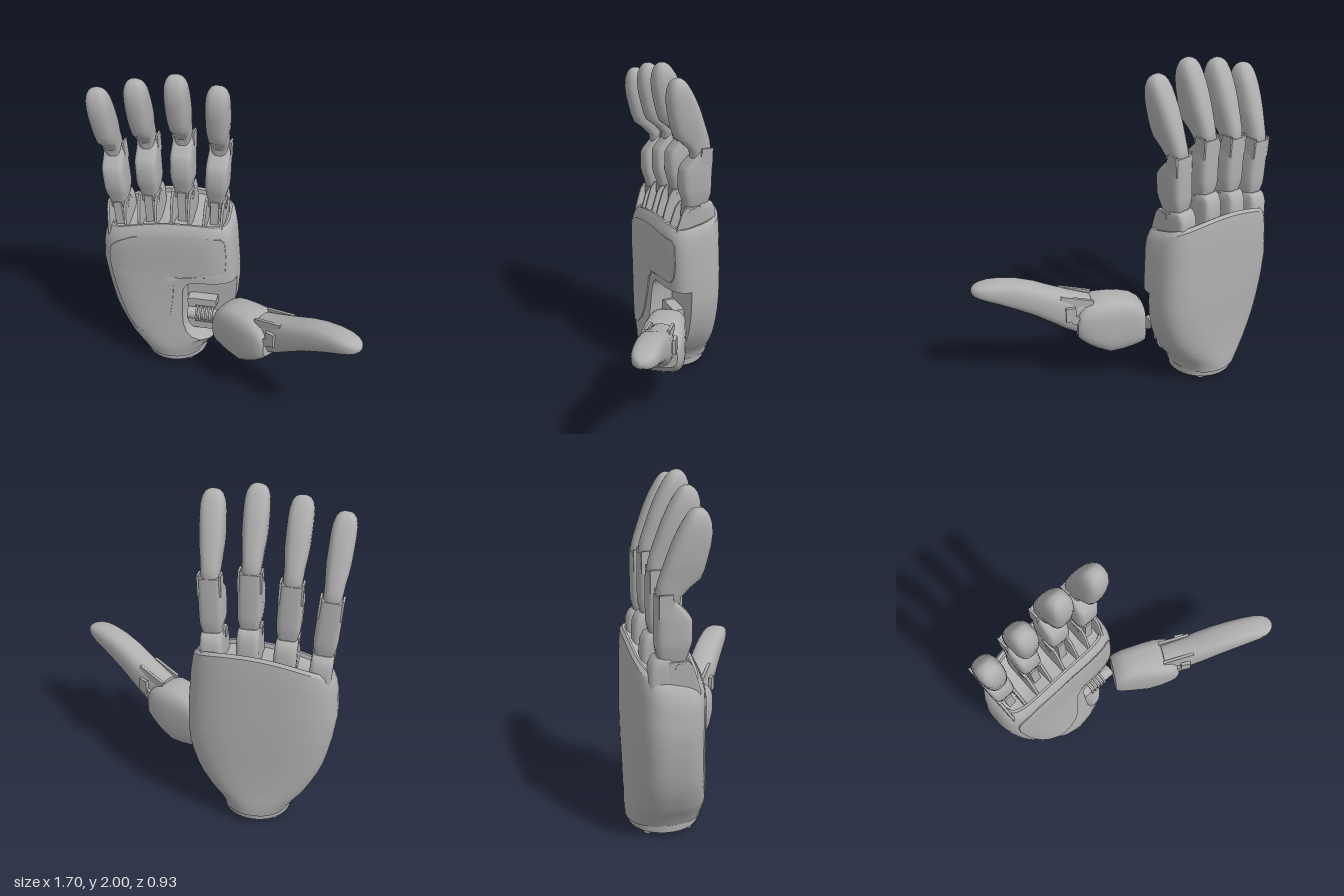
import * as THREE from 'three';
import { toCreasedNormals } from 'three/addons/utils/BufferGeometryUtils.js';

const grey = new THREE.MeshStandardMaterial({ color: 0xb0b0b0 });
grey.name = 'grey shell';
const lerp = THREE.MathUtils.lerp;

// Skins a list of equal-length rings (running from +x towards +z) and caps both ends.
function skin(rings, crease = 0.6) {
  const n = rings[0].length, pos = [], idx = [];
  for (const ring of rings) for (const p of ring) pos.push(p[0], p[1], p[2]);
  for (let r = 0; r < rings.length - 1; r++) {
    for (let i = 0; i < n; i++) {
      const a = r * n + i, b = r * n + (i + 1) % n;
      idx.push(a, a + n, b, b, a + n, b + n);
    }
  }
  for (const r of [0, rings.length - 1]) {
    const c = pos.length / 3;
    for (let k = 0; k < 3; k++) pos.push(rings[r].reduce((s, p) => s + p[k], 0) / n);
    for (let i = 0; i < n; i++) {
      const a = r * n + i, b = r * n + (i + 1) % n;
      if (r === 0) idx.push(c, a, b); else idx.push(c, b, a);
    }
  }
  const g = new THREE.BufferGeometry();
  g.setAttribute('position', new THREE.Float32BufferAttribute(pos, 3));
  g.setIndex(idx);
  return toCreasedNormals(g, crease);
}

// Rounded-box loft; rows are [y, half width, front z, back z].
function loft(rows, power = 3.2, count = 28) {
  const soft = v => Math.sign(v) * Math.abs(v) ** (2 / power);
  return skin(rows.map(([y, w, zf, zb]) => Array.from({ length: count }, (_, i) => {
    const a = i / count * Math.PI * 2;
    return [w * soft(Math.cos(a)), y, (zf + zb) / 2 + (zf - zb) / 2 * soft(Math.sin(a))];
  })));
}

// The same loft lying along x; rows are [x, half width, top y, bottom y].
function loftAlongX(rows, power) {
  const g = loft(rows, power);
  for (const a of [g.attributes.position, g.attributes.normal])
    for (let i = 0; i < a.count; i++) a.setXYZ(i, a.getY(i), a.getZ(i), a.getX(i));
  return g;
}

function add(parent, name, geometry, x = 0, y = 0, z = 0) {
  const m = new THREE.Mesh(geometry, grey);
  m.name = name;
  m.position.set(x, y, z);
  parent.add(m);
  return m;
}
const box = (w, h, d) => new THREE.BoxGeometry(w, h, d);
const pinX = (r, l) => new THREE.CylinderGeometry(r, r, l, 20).rotateZ(Math.PI / 2);
const pinZ = (r, l) => new THREE.CylinderGeometry(r, r, l, 20).rotateX(Math.PI / 2);

// Palm profile: y, left x, right x, front z, back z, squareness
const palmKeys = [
  [0.065, -0.6, -0.2, -0.03, -0.465, 2.2], [0.1, -0.62, -0.19, -0.025, -0.468, 2.3],
  [0.14, -0.645, -0.165, -0.02, -0.468, 2.5], [0.2, -0.69, -0.115, -0.025, -0.463, 2.8],
  [0.3, -0.745, -0.05, -0.035, -0.46, 3.0], [0.38, -0.78, -0.02, -0.045, -0.46, 3.2],
  [0.48, -0.805, 0.005, -0.055, -0.462, 3.4], [0.58, -0.825, 0.013, -0.065, -0.464, 3.7],
  [0.72, -0.842, 0.012, -0.07, -0.464, 4], [0.9, -0.834, 0, -0.07, -0.458, 4.2],
  [0.96, -0.825, -0.01, -0.075, -0.455, 4.4], [1.0, -0.81, -0.02, -0.09, -0.45, 4.5],
];
function palmRow(y) {
  let i = 0;
  while (i < palmKeys.length - 2 && palmKeys[i + 1][0] < y) i++;
  const a = palmKeys[i], b = palmKeys[i + 1], t = (y - a[0]) / (b[0] - a[0]);
  return a.map((v, k) => lerp(v, b[k], t));
}
// Surface depth at x; the back (side -1) is more domed than the front.
function palmZ([, xl, xr, zf, zb, square], x, side) {
  const p = side > 0 ? square : Math.min(square, 3);
  const u = Math.min(1, Math.abs((x - (xl + xr) / 2) / ((xr - xl) / 2)));
  return (zf + zb) / 2 + side * (zf - zb) / 2 * (1 - u ** p) ** (1 / p);
}
// The upper rim arches over the knuckles and rises to the back.
const archY = (x, y, z) => y + THREE.MathUtils.smoothstep(y, 0.7, 1) *
  (0.07 - 0.4 * (x + 0.28) ** 2 + 0.25 * (-0.27 - z));

// One palm section; right of xc the front steps back into the thumb socket.
function palmRing(row, xc, socket) {
  const [y, xl, xr] = row, M = 16, pts = [];
  const ease = t => 1 - (1 - t) ** 3;
  const put = (x, z) => pts.push([x, archY(x, y, z), z]);
  for (let i = M; i >= 0; i--) {
    const x = lerp(xc, xr, ease(i / M)), z = palmZ(row, x, 1);
    put(x, socket ? Math.min(z, -0.2) : z);
  }
  for (let i = 0; i <= M; i++) {
    const x = lerp(xc, xl, ease(i / M));
    put(x, palmZ(row, x, 1));
  }
  for (let i = 1 - M; i < M; i++) {
    const t = i / M, x = lerp(xl, xr, (1 + Math.sign(t) * ease(Math.abs(t))) / 2);
    put(x, palmZ(row, x, -1));
  }
  return pts;
}

function buildPalm(hand) {
  const rings = [];
  const plain = (y, xc = -0.3) => rings.push(palmRing(palmRow(y), xc, false));
  [[0.065, -0.3], [0.1, -0.28], [0.14, -0.23], [0.17, -0.18], [0.195, -0.15]].forEach(r => plain(...r));
  const socket = [[0.195, -0.15], [0.21, -0.2], [0.24, -0.25], [0.28, -0.285], [0.34, -0.305],
    [0.4, -0.31], [0.48, -0.31], [0.58, -0.31], [0.61, -0.3], [0.635, -0.28], [0.65, -0.24]];
  for (const [y, xc] of socket) rings.push(palmRing(palmRow(y), xc, true));
  plain(0.65, -0.24);
  [0.72, 0.78, 0.84, 0.9, 0.96, 1].forEach(y => plain(y));
  // Bevelled rim and the recess that holds the knuckles
  rings.push(palmRing([1.02, -0.79, -0.04, -0.105, -0.435, 4.5], -0.3, false));
  rings.push(palmRing([1.015, -0.775, -0.055, -0.12, -0.42, 4.5], -0.3, false));
  rings.push(palmRing([0.99, -0.77, -0.06, -0.125, -0.415, 4.5], -0.3, false));
  add(hand, 'palm shell', skin(rings, 0.55));

  // Grip pad following the palm surface: y, left x, right x
  const padRows = [[0.24, -0.58, -0.54], [0.26, -0.63, -0.48], [0.32, -0.675, -0.42],
    [0.4, -0.705, -0.39], [0.5, -0.74, -0.375], [0.62, -0.765, -0.365], [0.68, -0.775, -0.32],
    [0.7, -0.778, -0.07], [0.74, -0.78, -0.045], [0.82, -0.78, -0.04], [0.9, -0.765, -0.045],
    [0.94, -0.72, -0.05], [0.965, -0.62, -0.075]];
  const padRings = padRows.map(([y, xl, xr]) => {
    const row = palmRow(y), front = [], back = [];
    for (let i = 0; i <= 16; i++) {
      const x = lerp(xr, xl, i / 16), z = palmZ(row, x, 1), yy = archY(x, y, z);
      front.push([x, yy, z + 0.007]);
      back.unshift([x, yy, z - 0.002]);
    }
    return [...front, ...back];
  });
  add(hand, 'palm grip pad', skin(padRings));

  // Wrist flange and its bolts
  add(hand, 'wrist flange', new THREE.CylinderGeometry(0.205, 0.2, 0.045, 40), -0.4, 0.048, -0.247);
  for (const x of [-0.515, -0.29]) for (const z of [-0.13, -0.36])
    add(hand, 'wrist bolt', new THREE.CylinderGeometry(0.027, 0.022, 0.03, 12), x, 0.015, z);
}

// One finger, modelled upright at x = 0 with its foot at y = 1.1
function buildFinger(hand, name, x, dy, tilt) {
  const finger = new THREE.Group();
  finger.name = name;
  finger.position.set(x, 1.1 + dy, 0);
  finger.rotation.z = tilt;
  hand.add(finger);
  const f = new THREE.Group();
  f.name = name + ' parts';
  f.position.y = -1.1;
  finger.add(f);

  add(f, 'knuckle back', loft([[1.0, 0.064, -0.26, -0.392], [1.12, 0.064, -0.26, -0.394],
    [1.19, 0.063, -0.26, -0.388], [1.23, 0.06, -0.265, -0.37], [1.245, 0.05, -0.28, -0.35]], 4.5));
  add(f, 'knuckle link', box(0.05, 0.2, 0.1), 0, 1.12, -0.24);
  add(f, 'knuckle hinge pin', pinX(0.026, 0.13), 0, 1.19, -0.235);
  add(f, 'lower segment', loft([[1.18, 0.046, -0.21, -0.335], [1.25, 0.056, -0.19, -0.347],
    [1.29, 0.066, -0.178, -0.356], [1.33, 0.069, -0.168, -0.357], [1.44, 0.069, -0.17, -0.357],
    [1.47, 0.068, -0.188, -0.357], [1.52, 0.064, -0.235, -0.356], [1.57, 0.061, -0.275, -0.354]], 4.5));
  add(f, 'finger joint pin', pinX(0.024, 0.132), 0, 1.545, -0.295);
  for (const s of [-1, 1]) {
    add(f, 'knuckle cheek', loft([[1.0, 0.01, -0.115, -0.3], [1.08, 0.01, -0.13, -0.3],
      [1.19, 0.01, -0.165, -0.3], [1.225, 0.01, -0.19, -0.29]], 8), s * 0.053);
    add(f, 'joint cheek', box(0.012, 0.12, 0.07), s * 0.06, 1.525, -0.312);
  }
  add(f, 'fingertip segment', loft([[1.5, 0.044, -0.235, -0.33], [1.56, 0.05, -0.225, -0.352],
    [1.61, 0.054, -0.175, -0.347], [1.65, 0.057, -0.125, -0.336], [1.7, 0.064, -0.107, -0.318],
    [1.75, 0.068, -0.095, -0.3], [1.82, 0.069, -0.08, -0.274], [1.88, 0.069, -0.074, -0.246],
    [1.93, 0.066, -0.08, -0.218], [1.965, 0.056, -0.092, -0.195], [1.985, 0.043, -0.106, -0.178],
    [1.996, 0.026, -0.12, -0.163], [2.0, 0.01, -0.13, -0.15]], 2.9));
}

function buildThumb(hand) {
  // Drive shaft and brackets inside the socket
  add(hand, 'thumb shaft', pinX(0.04, 0.24), -0.17, 0.38, -0.12);
  for (let i = 0; i < 5; i++) add(hand, 'shaft ring', pinX(0.052, 0.012), -0.23 + i * 0.025, 0.38, -0.12);
  add(hand, 'upper bracket', box(0.16, 0.05, 0.08), -0.19, 0.46, -0.17);
  add(hand, 'lower bracket', box(0.16, 0.05, 0.08), -0.18, 0.28, -0.17);
  add(hand, 'shaft mount', box(0.05, 0.22, 0.08), -0.27, 0.37, -0.17);

  // Thumb runs along local +x, swung towards the front
  const thumb = new THREE.Group();
  thumb.name = 'thumb';
  thumb.position.set(-0.04, 0, -0.07);
  thumb.rotation.y = -Math.PI / 6;
  hand.add(thumb);
  add(thumb, 'thumb base', loftAlongX([[-0.015, 0.1, 0.5, 0.275], [0.01, 0.11, 0.535, 0.26],
    [0.06, 0.116, 0.57, 0.242], [0.12, 0.121, 0.585, 0.228], [0.2, 0.13, 0.592, 0.222],
    [0.28, 0.134, 0.59, 0.26], [0.34, 0.13, 0.57, 0.3], [0.38, 0.122, 0.54, 0.335],
    [0.4, 0.105, 0.5, 0.36]], 3.4));
  add(thumb, 'thumb tip segment', loftAlongX([[0.31, 0.07, 0.6, 0.42], [0.4, 0.08, 0.63, 0.37],
    [0.46, 0.085, 0.65, 0.4], [0.54, 0.089, 0.68, 0.455], [0.64, 0.087, 0.722, 0.518],
    [0.74, 0.084, 0.752, 0.57], [0.84, 0.08, 0.766, 0.618], [0.91, 0.075, 0.765, 0.648],
    [0.96, 0.063, 0.757, 0.669], [0.99, 0.045, 0.746, 0.684], [1.005, 0.024, 0.732, 0.697],
    [1.01, 0.01, 0.722, 0.708]], 2.8));
  add(thumb, 'thumb hinge pin', pinZ(0.028, 0.2), 0.41, 0.49, 0);
  for (const s of [-1, 1]) {
    const strap = add(thumb, 'thumb hinge strap', box(0.2, 0.05, 0.018), 0.4, 0.6, s * 0.065);
    strap.rotation.z = 0.25;
    add(thumb, 'thumb hinge ear', box(0.06, 0.09, 0.02), 0.44, 0.535, s * 0.095);
  }
}

export function createModel() {
  const hand = new THREE.Group();
  hand.name = 'robotic hand';
  buildPalm(hand);
  buildFinger(hand, 'little finger', -0.73, -0.115, 0.075);
  buildFinger(hand, 'ring finger', -0.535, -0.045, 0.036);
  buildFinger(hand, 'middle finger', -0.33, 0, 0);
  buildFinger(hand, 'index finger', -0.13, -0.045, -0.045);
  buildThumb(hand);
  return hand;
}
